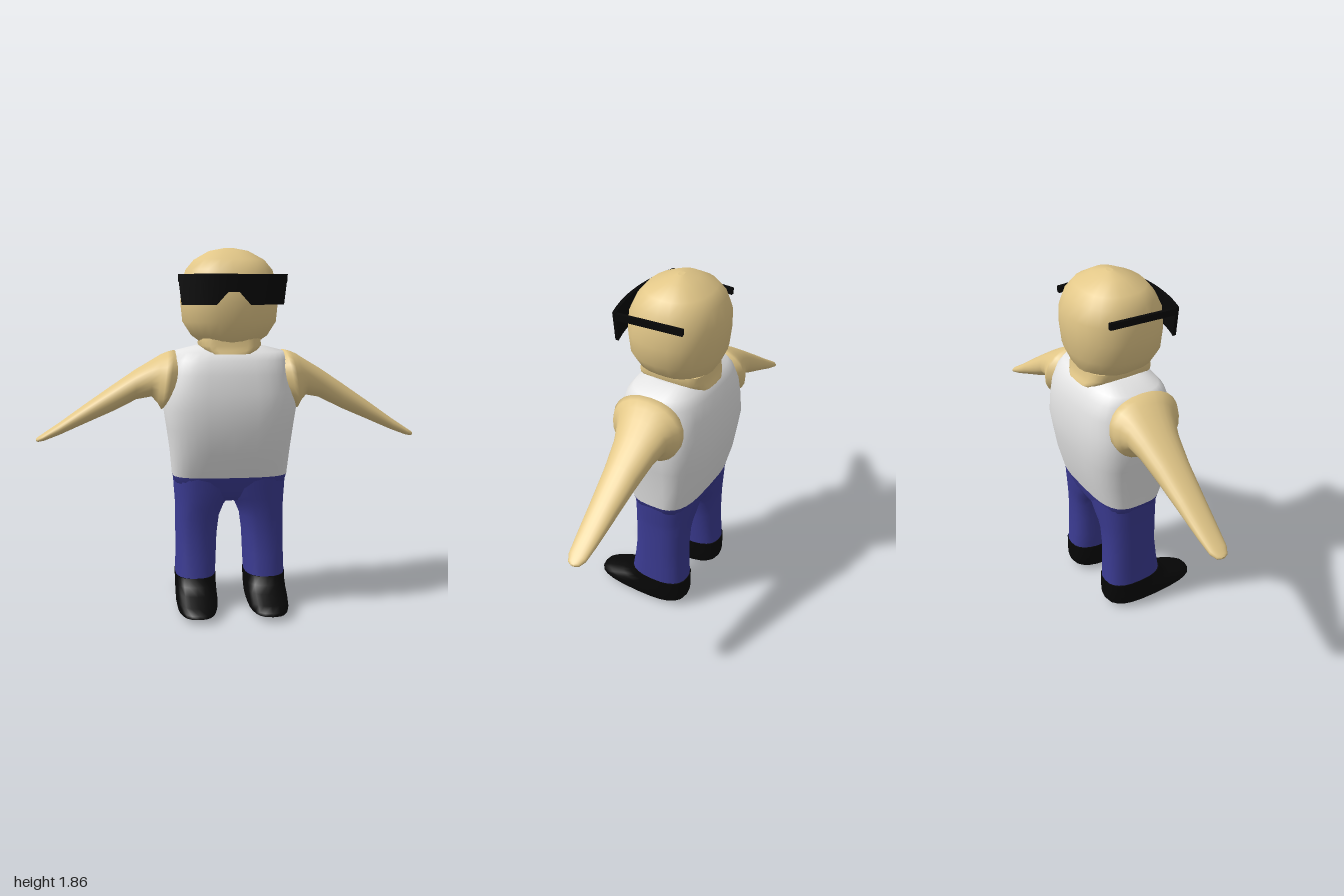
import * as THREE from 'three';

const material = (name, color) => {
  const m = new THREE.MeshStandardMaterial({ color });
  m.name = name;
  return m;
};

// Smooth skin through rounded sections; each section is [height, xMin, xMax, zMin, zMax]
function loft(sections, power = 2.4, sides = 24) {
  const pos = [], index = [];
  const soft = (v) => Math.sign(v) * Math.abs(v) ** (2 / power);
  const ring = ([y, x0, x1, z0, z1]) => {
    const start = pos.length / 3;
    for (let i = 0; i < sides; i++) {
      const a = (i / sides) * Math.PI * 2;
      pos.push((x0 + x1) / 2 + soft(Math.cos(a)) * (x1 - x0) / 2, y,
        (z0 + z1) / 2 + soft(Math.sin(a)) * (z1 - z0) / 2);
    }
    return start;
  };
  const starts = sections.map(ring);
  for (const r of starts.slice(0, -1)) {
    for (let i = 0; i < sides; i++) {
      const j = (i + 1) % sides;
      index.push(r + i, r + sides + i, r + j, r + j, r + sides + i, r + sides + j);
    }
  }
  // Flat end caps with their own corners
  for (const [s, top] of [[sections[0], false], [sections.at(-1), true]]) {
    const base = ring(s), c = pos.length / 3;
    pos.push((s[1] + s[2]) / 2, s[0], (s[3] + s[4]) / 2);
    for (let i = 0; i < sides; i++) {
      const j = (i + 1) % sides;
      if (top) index.push(c, base + j, base + i);
      else index.push(c, base + i, base + j);
    }
  }
  const g = new THREE.BufferGeometry();
  g.setAttribute('position', new THREE.Float32BufferAttribute(pos, 3));
  g.setIndex(index);
  g.computeVertexNormals();
  return g;
}

// Move every vertex by a rule
function reshape(geometry, rule) {
  const p = geometry.attributes.position;
  for (let i = 0; i < p.count; i++) p.setXYZ(i, ...rule(p.getX(i), p.getY(i), p.getZ(i)));
  geometry.computeVertexNormals();
  return geometry;
}

// Copy reflected across x = 0 with the face order restored
function mirrored(geometry) {
  const g = geometry.clone().scale(-1, 1, 1);
  const ix = g.index.array;
  for (let i = 0; i < ix.length; i += 3) [ix[i], ix[i + 1]] = [ix[i + 1], ix[i]];
  g.computeVertexNormals();
  return g;
}

export function createModel() {
  const model = new THREE.Group();
  model.name = 'figure';
  const skin = material('skin', 0xe2c788);
  const shirt = material('shirt white', 0xe4e4e4);
  const denim = material('trouser blue', 0x3b3b92);
  const black = material('black', 0x070707);

  const add = (name, geometry, mat, parent = model) => {
    const mesh = new THREE.Mesh(geometry, mat);
    mesh.name = name;
    parent.add(mesh);
    return mesh;
  };
  const pair = (name, geometry, mat) => {
    add('left' + name, geometry, mat);
    add('right' + name, mirrored(geometry), mat);
  };
  const centred = (rows) => rows.map(([y, w, z0, z1]) => [y, -w, w, z0, z1]);

  // Head
  add('head', loft(centred([
    [1.375, 0.14, -0.235, 0.10], [1.395, 0.16, -0.24, 0.108], [1.42, 0.195, -0.255, 0.135],
    [1.49, 0.24, -0.285, 0.165], [1.59, 0.25, -0.295, 0.175], [1.68, 0.242, -0.295, 0.168],
    [1.75, 0.222, -0.265, 0.135], [1.80, 0.18, -0.225, 0.095], [1.845, 0.10, -0.14, 0.0],
    [1.86, 0.02, -0.08, -0.05],
  ]), 2.25), skin);

  // Neck, filling the scooped collar
  add('neck', loft(centred([
    [1.333, 0.115, -0.26, 0.124], [1.35, 0.14, -0.252, 0.117],
    [1.372, 0.158, -0.242, 0.108], [1.41, 0.155, -0.238, 0.104],
  ]), 4), skin);

  // Sleeveless shirt
  add('shirt', loft(centred([
    [0.70, 0.301, -0.245, 0.10], [0.83, 0.312, -0.282, 0.153], [0.95, 0.328, -0.3, 0.17],
    [1.05, 0.343, -0.312, 0.18], [1.14, 0.334, -0.306, 0.17], [1.23, 0.315, -0.297, 0.155],
    [1.30, 0.3, -0.268, 0.13], [1.34, 0.278, -0.236, 0.098], [1.368, 0.165, -0.19, 0.045],
  ]), 3.3, 32), shirt);

  // Arms, lofted along x from [x, yBottom, yTop, zMin, zMax]; the root slants with the armhole
  const arm = loft([
    [0.22, 1.12, 1.30, -0.2, 0.06], [0.284, 1.055, 1.345, -0.262, 0.127],
    [0.315, 1.04, 1.337, -0.255, 0.115], [0.35, 1.07, 1.322, -0.24, 0.08],
    [0.40, 1.105, 1.292, -0.225, 0.05], [0.48, 1.09, 1.245, -0.21, 0.015],
    [0.60, 1.03, 1.165, -0.19, -0.01], [0.75, 0.965, 1.062, -0.175, -0.03],
    [0.88, 0.908, 0.97, -0.162, -0.045], [0.96, 0.878, 0.917, -0.152, -0.057],
    [0.99, 0.872, 0.897, -0.135, -0.075], [1.0, 0.878, 0.888, -0.115, -0.095],
  ].map(([x, y0, y1, z0, z1]) => [x, -y1, -y0, z0, z1]), 2.2).rotateZ(-Math.PI / 2);
  pair('Arm', reshape(arm, (x, y, z) =>
    [x + (1.345 - y) * 0.17 * Math.max(0, 1 - Math.abs(x - 0.284) / 0.12), y, z]), skin);

  // Trousers
  add('hips', loft(centred([
    [0.57, 0.13, -0.17, 0.04], [0.60, 0.22, -0.21, 0.068], [0.645, 0.284, -0.232, 0.086],
    [0.70, 0.301, -0.245, 0.10],
  ]), 3.3, 32), denim);
  pair('TrouserLeg', loft([
    [0.165, 0.078, 0.29, -0.222, 0.10], [0.27, 0.073, 0.287, -0.215, 0.083],
    [0.38, 0.068, 0.286, -0.211, 0.07], [0.48, 0.055, 0.286, -0.214, 0.072],
    [0.54, 0.03, 0.286, -0.22, 0.077], [0.575, 0, 0.288, -0.225, 0.081],
    [0.63, -0.04, 0.292, -0.232, 0.087], [0.695, -0.08, 0.296, -0.239, 0.094],
  ], 2.5), denim);

  // Shoes
  pair('Shoe', loft([
    [0, 0.12, 0.255, -0.14, 0.17], [0.012, 0.095, 0.275, -0.19, 0.265],
    [0.028, 0.084, 0.286, -0.21, 0.31], [0.045, 0.078, 0.29, -0.222, 0.308],
    [0.068, 0.076, 0.291, -0.226, 0.265], [0.098, 0.076, 0.291, -0.227, 0.175],
    [0.13, 0.076, 0.291, -0.226, 0.122], [0.172, 0.076, 0.292, -0.225, 0.102],
  ], 2.7), black);

  // Wraparound sunglasses: visor with a nose notch, bent around the face
  const glasses = new THREE.Group();
  glasses.name = 'sunglasses';
  model.add(glasses);
  const visor = reshape(new THREE.BoxGeometry(0.54, 0.15, 0.018, 18, 1, 1), (x, y, z) => {
    const notch = THREE.MathUtils.clamp((0.09 - Math.abs(x)) / 0.06, 0, 1);
    const bend = 0.175 - 0.045 * (x / 0.27) ** 2;
    return y > 0 ? [x, 1.727, z + bend] : [x * 0.935, 1.578 + 0.062 * notch, z + bend];
  });
  add('visor', visor, black, glasses);
  for (const side of [1, -1]) {
    const temple = add(side > 0 ? 'leftTemple' : 'rightTemple',
      new THREE.BoxGeometry(0.018, 0.032, 0.345), black, glasses);
    temple.position.set(side * 0.247, 1.706, -0.038);
    temple.rotation.y = side * 0.075;
  }
  return model;
}
